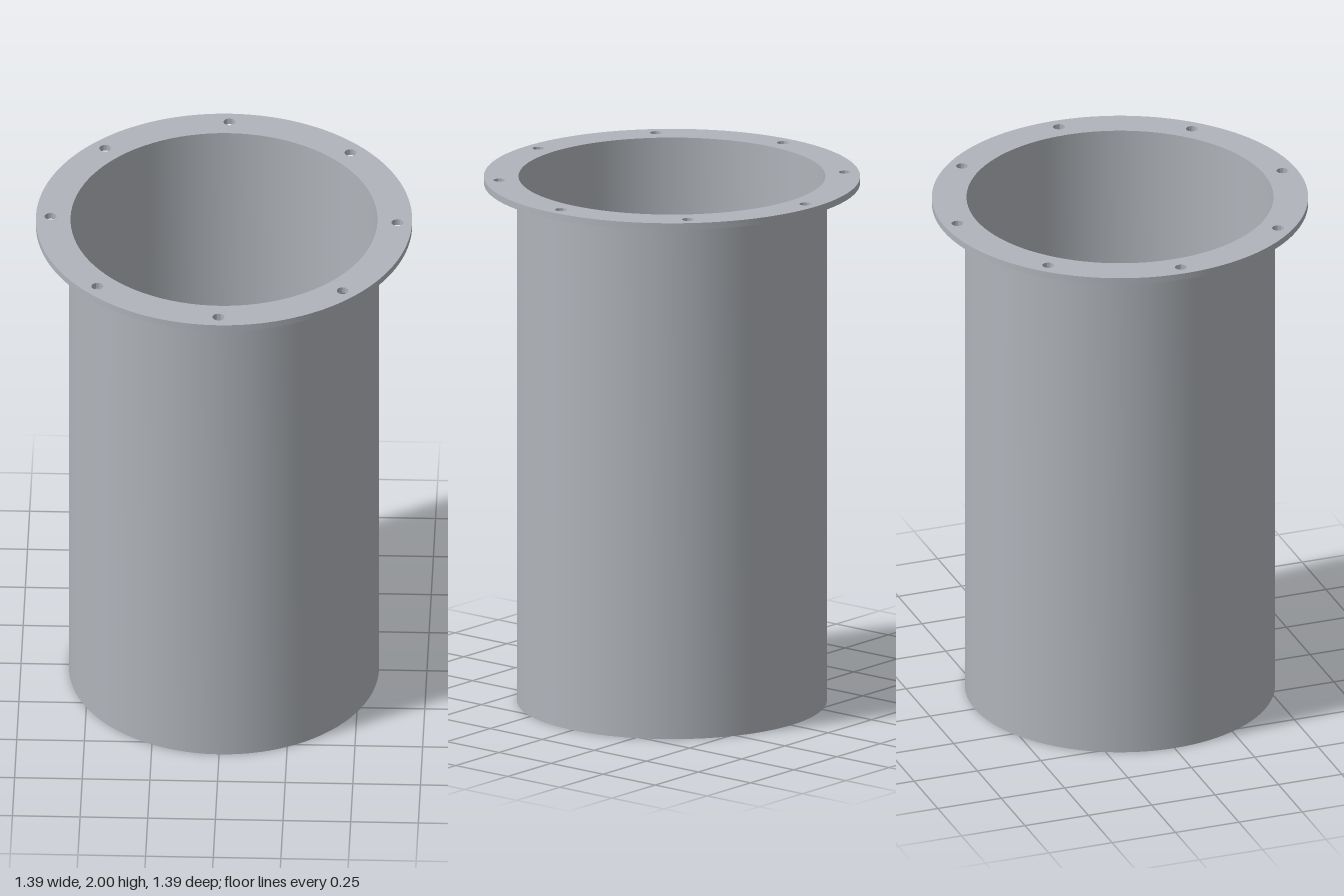
import * as THREE from 'three';
import { toCreasedNormals } from 'three/addons/utils/BufferGeometryUtils.js';

const material = (name, color) => {
  const m = new THREE.MeshStandardMaterial({ color });
  m.name = name;
  return m;
};

export function createModel() {
  const metal = material('grey metal', 0xb0b4ba);
  const dark = material('dark casing', 0x656565);
  const brass = material('tan casing', 0xc9ac6e);

  const group = new THREE.Group();
  group.name = 'canister';

  const add = (name, geometry, mat, x = 0, y = 0, z = 0) => {
    const mesh = new THREE.Mesh(geometry, mat);
    mesh.name = name;
    mesh.position.set(x, y, z);
    group.add(mesh);
    return mesh;
  };
  // Box given by its width, vertical range and depth range
  const box = (name, mat, width, y0, y1, z0, z1, x = 0) =>
    add(name, new THREE.BoxGeometry(width, y1 - y0, z1 - z0), mat, x, (y0 + y1) / 2, (z0 + z1) / 2);

  // Thin-walled tube closed at the bottom
  const outer = 0.573, inner = 0.567, height = 2, floor = 0.02;
  const profile = [[0, 0], [outer, 0], [outer, height - 0.025], [outer, height], [inner, height], [inner, floor], [0, floor]]
    .map(([r, y]) => new THREE.Vector2(r, y));
  add('tube', toCreasedNormals(new THREE.LatheGeometry(profile, 96), 0.6), metal);

  // Flange ring with eight bolt holes
  const flangeShape = new THREE.Shape().absarc(0, 0, 0.695, 0, Math.PI * 2);
  const hole = (x, y, r) => flangeShape.holes.push(new THREE.Path().absarc(x, y, r, 0, Math.PI * 2, true));
  hole(0, 0, inner);
  for (let i = 0; i < 8; i++) {
    const a = (i * Math.PI) / 4;
    hole(0.641 * Math.cos(a), 0.641 * Math.sin(a), 0.022);
  }
  const flange = new THREE.ExtrudeGeometry(flangeShape, { depth: 0.025, bevelEnabled: false, curveSegments: 96 });
  flange.rotateX(-Math.PI / 2);
  add('flange', toCreasedNormals(flange, 0.6), metal, 0, height - 0.025, 0);

  // Round mounting plate inside the tube
  const base = 0.05;
  add('mountingPlate', new THREE.CylinderGeometry(0.55, 0.55, base - floor, 96), metal, 0, (base + floor) / 2, 0);

  // Battery with two terminals, held by a strap
  const batteryTop = 0.7;
  box('battery', dark, 0.788, base, batteryTop, 0.07, 0.385);
  for (const side of [-1, 1]) {
    add('terminal', new THREE.CylinderGeometry(0.028, 0.028, 0.03, 24), dark, side * 0.243, batteryTop + 0.015, 0.226);
  }
  box('strapTop', metal, 0.1, batteryTop, batteryTop + 0.012, 0.06, 0.396);
  box('strapBack', metal, 0.1, base, batteryTop, 0.06, 0.07);
  box('strapFront', metal, 0.1, base, batteryTop, 0.385, 0.396);

  // Equipment case, its back plate and a small block behind it
  box('equipmentCase', brass, 0.81, base, 0.85, -0.345, -0.045);
  box('backPlate', brass, 0.645, base + 0.08, 0.77, -0.366, -0.345);
  box('rearBlock', metal, 0.324, base, 0.3, -0.46, -0.374);

  return group;
}
